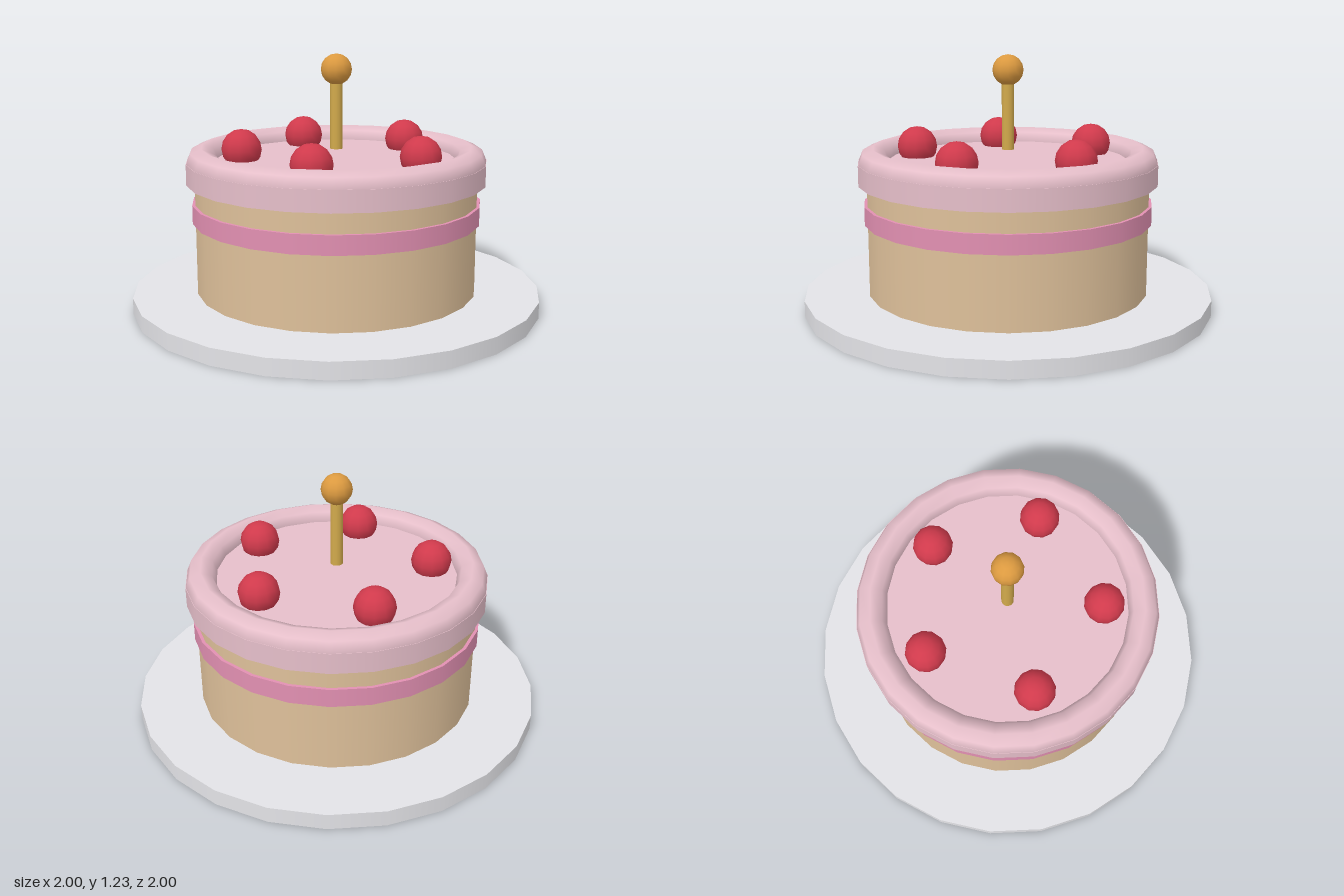
import * as THREE from 'three';

const paint = (name, color) => {
  const m = new THREE.MeshStandardMaterial({ color });
  m.name = name;
  return m;
};

export function createModel() {
  const group = new THREE.Group();
  const porcelain = paint('porcelain', 0xe6e6ea);
  const sponge = paint('sponge', 0xdec09a);
  const icing = paint('icing', 0xe6bfca);
  const ribbon = paint('ribbon', 0xe290b2);
  const cherryRed = paint('cherry red', 0xd03a4c);
  const gold = paint('gold', 0xd2aa4c);
  const amber = paint('amber', 0xdc9a40);

  const add = (name, geometry, material, x, y, z) => {
    const mesh = new THREE.Mesh(geometry, material);
    mesh.name = name;
    mesh.position.set(x, y, z);
    group.add(mesh);
    return mesh;
  };
  // Upright cylinder given by its bottom and top heights
  const disc = (name, material, radius, y0, y1, sides = 24) =>
    add(name, new THREE.CylinderGeometry(radius, radius, y1 - y0, sides), material, 0, (y0 + y1) / 2, 0);

  // Plate and cake layers
  disc('plate', porcelain, 1, 0, 0.08);
  disc('cakeBody', sponge, 0.69, 0.08, 0.63);
  disc('ribbonBand', ribbon, 0.705, 0.43, 0.52);
  disc('icingTop', icing, 0.73, 0.62, 0.72);

  // Piped rim around the icing
  const rim = add('icingRim', new THREE.TorusGeometry(0.655, 0.075, 8, 24), icing, 0, 0.715, 0);
  rim.rotation.x = Math.PI / 2;

  // Ring of five cherries
  const cherry = new THREE.SphereGeometry(0.098, 12, 8);
  for (let i = 0; i < 5; i++) {
    const a = (i / 5) * Math.PI * 2;
    add('cherry' + (i + 1), cherry, cherryRed, 0.46 * Math.cos(a), 0.772, 0.46 * Math.sin(a));
  }

  // Candle with a round flame
  disc('candle', gold, 0.03, 0.77, 1.09, 12);
  add('flame', new THREE.SphereGeometry(0.075, 12, 8), amber, 0, 1.155, 0);

  return group;
}
